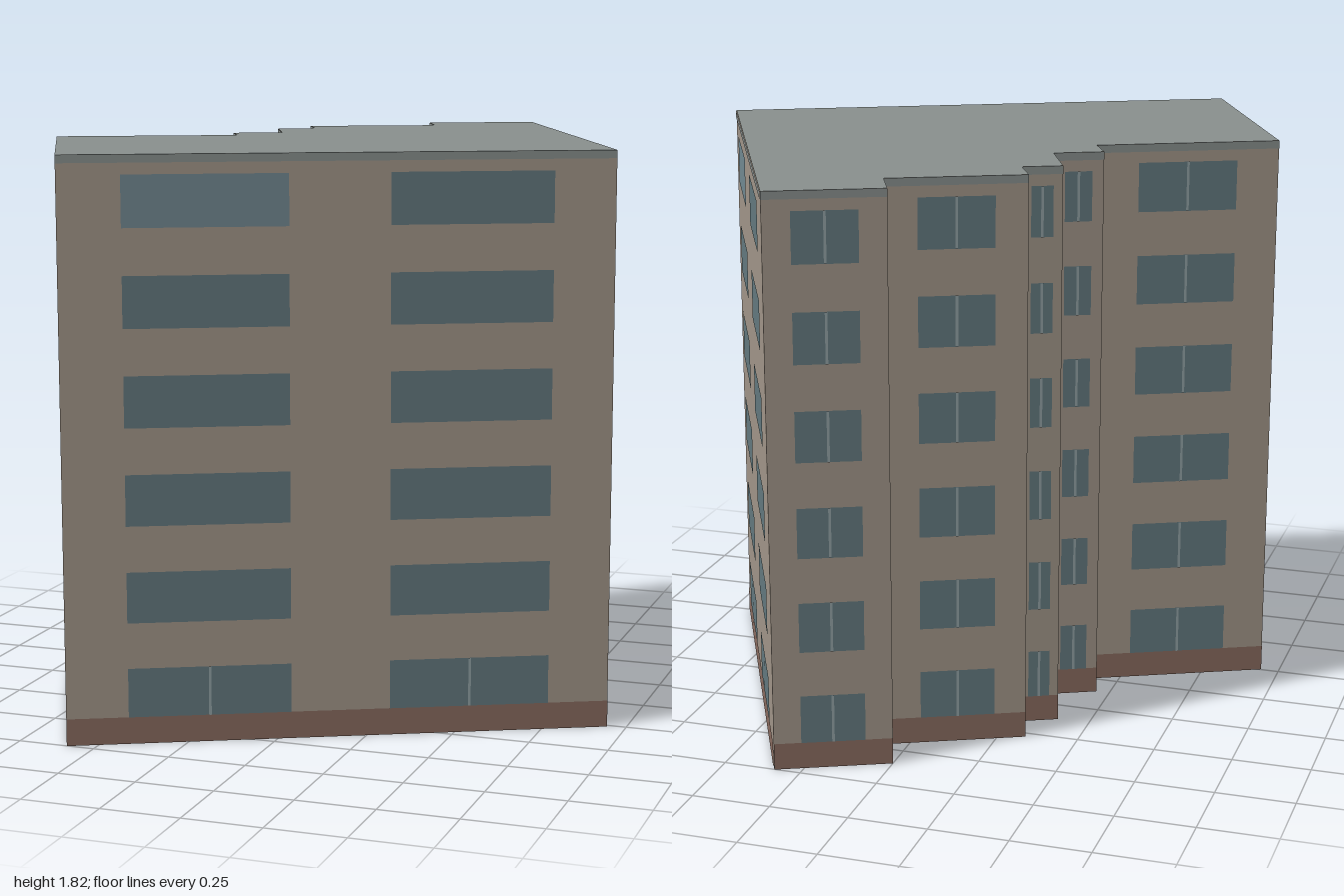
import * as THREE from 'three';

const HEIGHT = 1.82, TRIM = 0.025, PLINTH = 0.085;
const FLOORS = 6, PITCH = 0.304, WINDOW_H = 0.16;

// Footprint corners (x, z), counterclockwise seen from above
const FOOTPRINT = [
  [-0.59, 1.0], [0.94, 0.26], [0.335, -1.0], [0.0, -0.845], [0.06, -0.71], [-0.335, -0.525],
  [-0.28, -0.415], [-0.395, -0.36], [-0.31, -0.17], [-0.455, -0.10], [-0.405, 0.0], [-0.94, 0.255],
];

// Window bays per wall, as fractions of the wall's length
const PAIR = [[0.113, 0.41], [0.592, 0.887]];
const SINGLE = [[0.23, 0.77]];
const BAYS = { 0: PAIR, 1: PAIR, 11: PAIR, 2: SINGLE, 4: SINGLE, 6: SINGLE, 8: SINGLE, 10: SINGLE };

const paint = (color, side = THREE.FrontSide) => new THREE.MeshStandardMaterial({ color, side });

export function createModel() {
  const wallMat = paint(0xa3978a, THREE.DoubleSide);
  const roofMat = paint(0x8a918f, THREE.DoubleSide);
  const trimMat = paint(0x8a918f);
  const plinthMat = paint(0x8a6c60);
  const glassMat = paint(0x647a80);
  const paleGlassMat = paint(0x738a93);
  const mullionMat = paint(0x93a3a6);

  const model = new THREE.Group();
  model.name = 'apartmentBuilding';

  FOOTPRINT.forEach(([x0, z0], i) => {
    const [x1, z1] = FOOTPRINT[(i + 1) % FOOTPRINT.length];
    const dx = x1 - x0, dz = z1 - z0;
    const length = Math.hypot(dx, dz);

    // Each facade is built flat: x along the wall, y up, z outward
    const facade = new THREE.Group();
    facade.name = `facade${i + 1}`;
    facade.position.set(x0, 0, z0);
    facade.rotation.y = Math.atan2(-dz, dx);
    model.add(facade);

    const panel = (name, material, u0, u1, y0, y1, out) => {
      const mesh = new THREE.Mesh(new THREE.PlaneGeometry(u1 - u0, y1 - y0), material);
      mesh.position.set((u0 + u1) / 2, (y0 + y1) / 2, out);
      mesh.name = name;
      facade.add(mesh);
    };

    panel('wall', wallMat, 0, length, 0, HEIGHT, 0);
    panel('plinth', plinthMat, 0, length, 0, PLINTH, 0.002);
    panel('roofTrim', trimMat, 0, length, HEIGHT - TRIM, HEIGHT, 0.002);

    // Windows, with a centre bar on ground floors and on all rear bays
    (BAYS[i] || []).forEach(([a, b], bay) => {
      const rear = BAYS[i] === SINGLE;
      const mid = (a + b) / 2 * length;
      for (let floor = 0; floor < FLOORS; floor++) {
        const y0 = 0.08 + floor * PITCH, y1 = y0 + WINDOW_H;
        const bottom = Math.max(y0, PLINTH);
        const pale = !rear && bay === 0 && floor === FLOORS - 1;
        panel('window', pale ? paleGlassMat : glassMat, a * length, b * length, bottom, y1, 0.003);
        const barred = rear || (floor === 0 && !(i === 11 && bay === 0));
        if (barred) panel('windowBar', mullionMat, mid - 0.004, mid + 0.004, bottom, y1, 0.005);
      }
    });
  });

  // Flat roof following the footprint
  const outline = new THREE.Shape(FOOTPRINT.map(([x, z]) => new THREE.Vector2(x, -z)));
  const roof = new THREE.Mesh(new THREE.ShapeGeometry(outline).rotateX(-Math.PI / 2), roofMat);
  roof.position.y = HEIGHT;
  roof.name = 'roof';
  model.add(roof);

  return model;
}
